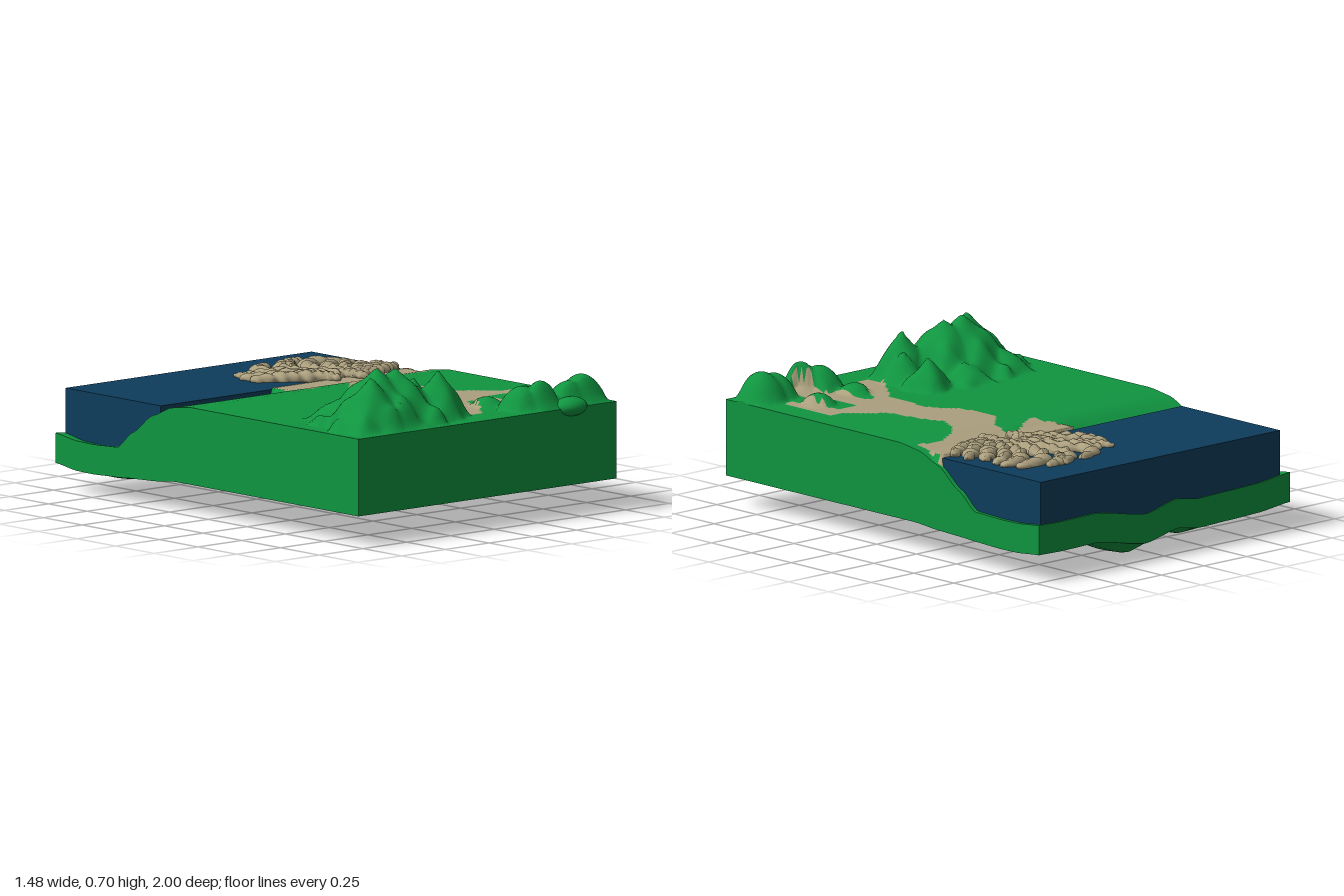
import * as THREE from 'three';
import { ParametricGeometry } from 'three/addons/geometries/ParametricGeometry.js';

const X0 = -0.74, X1 = 0.735, Z0 = -1, Z1 = 0.96;
const LAND = 0.47, SEA = 0.44;

// Smooth interpolation through [position, value] pairs
function ramp(pts, t) {
  if (t <= pts[0][0]) return pts[0][1];
  for (let i = 1; i < pts.length; i++) {
    const [a, va] = pts[i - 1], [b, vb] = pts[i];
    if (t <= b) {
      const k = (t - a) / (b - a);
      return va + (vb - va) * (0.5 * k + 0.5 * k * k * (3 - 2 * k));
    }
  }
  return pts[pts.length - 1][1];
}

// Seabed sag across x, and how strongly it acts along z
const SAG_X = [[-0.74, 0.035], [-0.55, 0.075], [-0.4, 0.085], [-0.2, 0.095], [-0.08, 0.055],
  [0.1, 0.135], [0.4, 0.025], [0.6, 0.032], [0.735, 0.025]];
const SAG_Z = [[-1, 0.45], [-0.86, 0.95], [-0.76, 1], [-0.6, 0.8], [-0.5, 0.6], [-0.38, 0.45], [-0.22, 0]];
const SHORE = [[-1, 0.265], [-0.6, 0.265], [-0.5, 0.335], [-0.37, 0.42], [-0.25, 0.455], [-0.12, LAND]];
const sag = (x, z) => ramp(SAG_X, x) * ramp(SAG_Z, z);

// Mountain peaks and rounded hills: x, z, height, radius
const PEAKS = [[-0.4, 0.69, 0.24, 0.26], [-0.5, 0.77, 0.22, 0.2], [-0.3, 0.7, 0.23, 0.24], [-0.57, 0.8, 0.13, 0.15],
  [-0.24, 0.66, 0.14, 0.18], [-0.18, 0.72, 0.13, 0.18], [-0.1, 0.75, 0.21, 0.14], [-0.04, 0.52, 0.14, 0.11],
  [-0.04, 0.68, 0.14, 0.1], [-0.5, 0.56, 0.1, 0.15], [-0.25, 0.52, 0.08, 0.14], [-0.42, 0.86, 0.12, 0.12]];
const HILLS = [[0.3, 0.84, 0.1, 0.11], [0.37, 0.88, 0.12, 0.1], [0.54, 0.87, 0.1, 0.11], [0.62, 0.86, 0.12, 0.12],
  [0.51, 0.62, 0.05, 0.08], [0.5, 0.92, 0.05, 0.1], [0.24, 0.68, 0.04, 0.08]];

// Outline of the sandy river with its mouth and tributaries
const RIVER = [[-0.07, -0.38], [-0.06, -0.24], [-0.02, -0.23], [-0.02, -0.16], [0.07, -0.2], [0.13, -0.24], [0.22, -0.24],
  [0.2, -0.15], [0.11, -0.06], [0.1, 0.06], [0.12, 0.15], [0.17, 0.2], [0.21, 0.28], [0.19, 0.4], [0.2, 0.5],
  [0.12, 0.6], [0.05, 0.7], [0.05, 0.81], [0.1, 0.81], [0.18, 0.7], [0.25, 0.54], [0.3, 0.55], [0.3, 0.74],
  [0.35, 0.74], [0.36, 0.83], [0.42, 0.87], [0.47, 0.83], [0.47, 0.7], [0.43, 0.66], [0.4, 0.62], [0.4, 0.49],
  [0.5, 0.49], [0.54, 0.6], [0.55, 0.73], [0.58, 0.74], [0.62, 0.7], [0.62, 0.44], [0.55, 0.43], [0.48, 0.36],
  [0.4, 0.3], [0.38, 0.18], [0.36, 0.08], [0.33, 0.03], [0.36, -0.05], [0.45, -0.15], [0.55, -0.2], [0.69, -0.19],
  [0.7, -0.3], [0.72, -0.38]];

function inRiver(x, z) {
  let inside = false;
  for (let i = 0, j = RIVER.length - 1; i < RIVER.length; j = i++) {
    const [xi, zi] = RIVER[i], [xj, zj] = RIVER[j];
    if ((zi > z) !== (zj > z) && x < (xj - xi) * (z - zi) / (zj - zi) + xi) inside = !inside;
  }
  return inside;
}

function topHeight(x, z) {
  const base = ramp(SHORE, z) - sag(x, z);
  let h = 0;
  if (z > 0.35) {
    const wob = 1 + 0.16 * Math.sin(x * 37 + z * 11) * Math.sin(z * 31 - x * 9);
    for (const [px, pz, ph, r] of PEAKS) {
      const k = 1 - Math.hypot(x - px, z - pz) / r * wob;
      if (k > 0) h = Math.max(h, ph * Math.pow(k, 0.95));
    }
    for (const [px, pz, ph, r] of HILLS) {
      const k = 1 - ((x - px) ** 2 + (z - pz) ** 2) / (r * r);
      if (k > 0) h = Math.max(h, ph * k);
    }
    h *= Math.min(1, Math.max(0, (Z1 - z) / 0.06));
  }
  if (inRiver(x, z)) return Math.max(base, 0.45) + h * 0.35;
  return base + h;
}
const bottomHeight = (x, z) => 0.135 - sag(x, z);

const mix = THREE.MathUtils.lerp;

export function createModel() {
  const group = new THREE.Group();
  const mat = (name, color) => new THREE.MeshStandardMaterial({ name, color });
  const grass = mat('grassGreen', 0x109540);
  const water = mat('deepWater', 0x0e3d5c);
  const sand = mat('riverSand', 0xab9f7d);

  const add = (name, geo, material) => {
    const mesh = new THREE.Mesh(geo, material);
    mesh.name = name;
    group.add(mesh);
    return mesh;
  };
  const surface = (fn, nu, nv) => {
    const geo = new ParametricGeometry(fn, nu, nv);
    geo.computeVertexNormals();
    return geo;
  };

  // Land surface, with the river cells split off as a sand group
  const land = surface((u, v, p) => {
    const x = mix(X0, X1, v), z = mix(Z0, Z1, u);
    p.set(x, topHeight(x, z), z);
  }, 130, 98);
  const pos = land.attributes.position, old = land.index.array, green = [], sandy = [];
  for (let i = 0; i < old.length; i += 6) {
    let x = 0, z = 0;
    for (let k = 0; k < 6; k++) {
      x += pos.getX(old[i + k]) / 6;
      z += pos.getZ(old[i + k]) / 6;
    }
    (inRiver(x, z) ? sandy : green).push(...old.slice(i, i + 6));
  }
  land.setIndex([...green, ...sandy]);
  land.addGroup(0, green.length, 0);
  land.addGroup(green.length, sandy.length, 1);
  add('landAndRiver', land, [grass, sand]);

  // Underside
  add('underside', surface((u, v, p) => {
    const x = mix(X0, X1, u), z = mix(Z0, Z1, v);
    p.set(x, bottomHeight(x, z), z);
  }, 60, 80), grass);

  // Four side walls between underside and land
  const corners = [[X0, Z1], [X1, Z1], [X1, Z0], [X0, Z0]];
  ['frontWall', 'rightWall', 'backWall', 'leftWall'].forEach((name, i) => {
    const a = corners[i], b = corners[(i + 1) % 4];
    add(name, surface((u, v, p) => {
      const x = mix(a[0], b[0], u), z = mix(a[1], b[1], u);
      p.set(x, mix(bottomHeight(x, z), topHeight(x, z), v), z);
    }, i % 2 ? 130 : 98, 1), grass);
  });

  // Small hill foot bulging over the front edge
  const bulge = add('frontBulge', new THREE.SphereGeometry(1, 24, 16), grass);
  bulge.scale.set(0.08, 0.042, 0.06);
  bulge.position.set(0.49, 0.473, 0.94);

  // Sea block
  const sea = add('sea', new THREE.BoxGeometry(1.405, SEA - 0.2, 0.615), water);
  sea.position.set(0.0125, (SEA + 0.2) / 2, -0.6825);

  // River delta: lumpy tapered fingers fanning out over the sea
  const FINGERS = [
    [0.034, [0.3, -0.36], [0.14, -0.49], [0.0, -0.58]],
    [0.03, [0.28, -0.4], [0.12, -0.55], [0.0, -0.65]],
    [0.026, [0.16, -0.56], [0.08, -0.64], [0.04, -0.73]],
    [0.03, [0.3, -0.4], [0.2, -0.57], [0.1, -0.72]],
    [0.032, [0.32, -0.4], [0.23, -0.6], [0.18, -0.74], [0.3, -0.8]],
    [0.034, [0.34, -0.42], [0.29, -0.6], [0.31, -0.73], [0.42, -0.82]],
    [0.026, [0.33, -0.68], [0.4, -0.78], [0.5, -0.8]],
    [0.036, [0.36, -0.4], [0.37, -0.58], [0.45, -0.72], [0.62, -0.74]],
    [0.034, [0.4, -0.4], [0.44, -0.55], [0.52, -0.65], [0.65, -0.68]],
    [0.03, [0.4, -0.38], [0.49, -0.52], [0.57, -0.6], [0.64, -0.62]],
    [0.036, [0.42, -0.36], [0.52, -0.46], [0.63, -0.55]],
    [0.034, [0.42, -0.33], [0.54, -0.4], [0.67, -0.48]],
    [0.028, [0.45, -0.33], [0.57, -0.36], [0.68, -0.4]],
    [0.03, [0.39, -0.26], [0.39, -0.36], [0.38, -0.5]],
    [0.028, [0.27, -0.3], [0.26, -0.4], [0.2, -0.52]],
  ];
  const delta = new THREE.Group();
  delta.name = 'riverDelta';
  group.add(delta);
  FINGERS.forEach(([r, ...pts], n) => {
    const rise = 0.012 * Math.sin(n * 2.3);
    const curve = new THREE.CatmullRomCurve3(pts.map(([x, z]) =>
      new THREE.Vector3(x, SEA + 0.006 + Math.max(0, z + 0.6) * 0.05, z)));
    const geo = new THREE.TubeGeometry(curve, 48, r, 12);
    const P = geo.attributes.position, N = geo.attributes.normal, U = geo.attributes.uv;
    for (let i = 0; i < P.count; i++) {
      const t = U.getX(i), a = U.getY(i) * Math.PI * 2;
      const taper = Math.pow(Math.max(0, 4 * t * (1 - t)), 0.3);
      const lump = 1 + 0.16 * Math.sin(t * 41 + n * 1.7 + 2 * Math.sin(a)) + 0.12 * Math.sin(3 * a + t * 23 + n);
      const d = r * (taper * lump - 1);
      const yr = r * taper * lump;
      P.setXYZ(i, P.getX(i) + N.getX(i) * d,
        P.getY(i) - N.getY(i) * r + N.getY(i) * yr * (0.85 + rise * 10), P.getZ(i) + N.getZ(i) * d);
    }
    geo.computeVertexNormals();
    const mesh = new THREE.Mesh(geo, sand);
    mesh.name = 'deltaFinger';
    delta.add(mesh);
  });
  return group;
}
